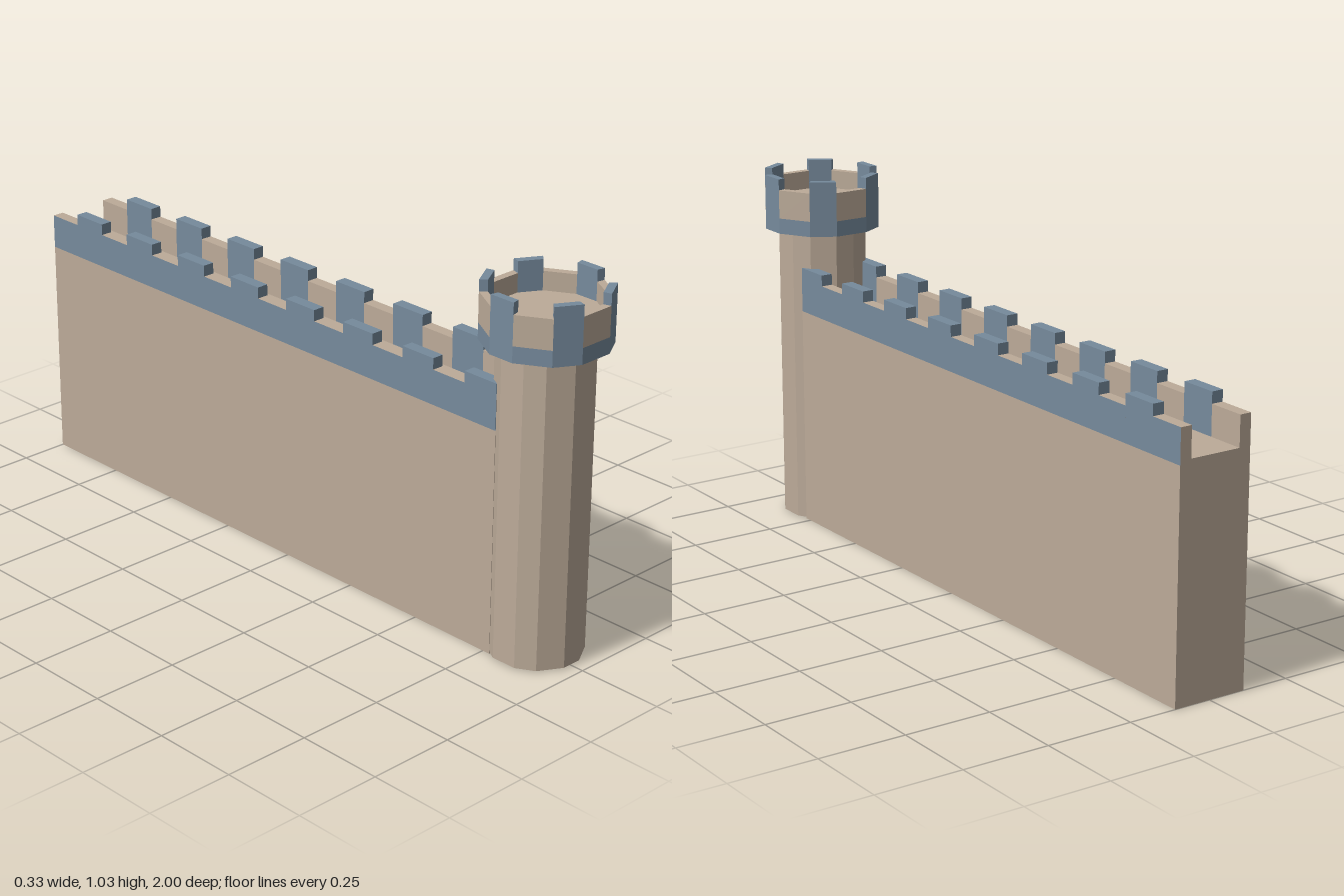
import * as THREE from 'three';

const stone = new THREE.MeshStandardMaterial({ color: 0xbcab99, flatShading: true });
const slate = new THREE.MeshStandardMaterial({ color: 0x768a9c, flatShading: true });

const TOWER_Z = 0.836;
const rad = THREE.MathUtils.degToRad;

function add(group, name, geometry, material) {
  const mesh = new THREE.Mesh(geometry, material);
  mesh.name = name;
  group.add(mesh);
  return mesh;
}

// Box given by its limits on each axis
function block(x0, x1, y0, y1, z0, z1) {
  return new THREE.BoxGeometry(x1 - x0, y1 - y0, z1 - z0)
    .translate((x0 + x1) / 2, (y0 + y1) / 2, (z0 + z1) / 2);
}

// Twelve-sided prism with alternating narrow (26 deg) and wide (34 deg) faces
function prism(radius, turn, y0, y1) {
  const points = [];
  for (let i = 0; i < 6; i++) {
    for (const side of [-13, 13]) {
      const a = rad(i * 60 + turn + side);
      points.push(new THREE.Vector2(radius * Math.cos(a), radius * Math.sin(a)));
    }
  }
  return new THREE.ExtrudeGeometry(new THREE.Shape(points), { depth: y1 - y0, bevelEnabled: false })
    .rotateX(-Math.PI / 2).translate(0, y0, 0);
}

// Straight-faced ring segment: a box bent round the tower axis, +z side outward
function ringSegment(angle, width, inner, outer, y0, y1) {
  const g = new THREE.BoxGeometry(1, y1 - y0, 1);
  const p = g.attributes.position;
  for (let i = 0; i < p.count; i++) {
    const a = rad(angle + p.getX(i) * width);
    const r = p.getZ(i) > 0 ? outer : inner;
    p.setXYZ(i, r * Math.sin(a), p.getY(i) + (y0 + y1) / 2, r * Math.cos(a));
  }
  g.computeVertexNormals();
  return g;
}

function createTower() {
  const tower = new THREE.Group();
  tower.name = 'tower';
  tower.position.z = TOWER_Z;
  const inner = 0.149, outer = 0.1715;

  add(tower, 'towerShaft', prism(0.129, 30, 0.004, 0.9), stone);
  add(tower, 'towerFloor', prism(inner, 0, 0.875, 0.95), stone);

  // Slate only on the outward face
  const banded = [stone, stone, stone, stone, slate, stone];
  for (let i = 0; i < 6; i++) {
    const m = 30 + i * 60, gap = i * 60;
    add(tower, 'towerBand', ringSegment(m, 26, inner, outer, 0.875, 0.92), banded);
    add(tower, 'towerBand', ringSegment(gap, 34, inner, outer, 0.875, 0.92), banded);
    add(tower, 'towerMerlon', ringSegment(m, 26, inner, outer, 0.92, 1.035), slate);
    add(tower, 'towerParapet', ringSegment(gap, 34, inner, outer, 0.92, 1.003), stone);
  }
  return tower;
}

function createWall() {
  const wall = new THREE.Group();
  wall.name = 'wall';
  const half = 0.11, inner = 0.076, front = 0.773, back = -1;
  const slots = 16, step = (front - back) / slots;

  add(wall, 'wallBody', block(-half, half, 0, 0.64, back, front), stone);
  add(wall, 'wallWalk', block(-inner, inner, 0.64, 0.652, back, front), stone);

  // Merlons and gaps alternate along both edges
  for (const s of [1, -1]) {
    const x0 = s > 0 ? inner : -half, x1 = s > 0 ? half : -inner;
    const banded = Array.from({ length: 6 }, (_, f) => (f === (s > 0 ? 0 : 1) ? slate : stone));
    for (let i = 0; i < slots; i++) {
      const z1 = front - i * step, z0 = z1 - step;
      const merlon = i % 2 === 0;
      add(wall, merlon ? 'wallMerlon' : 'wallParapet',
        block(x0, x1, 0.64, merlon ? 0.77 : 0.738, z0, z1), merlon ? slate : banded);
    }
  }
  return wall;
}

export function createModel() {
  const model = new THREE.Group();
  model.name = 'castleWallWithTower';
  model.add(createWall(), createTower());
  return model;
}
